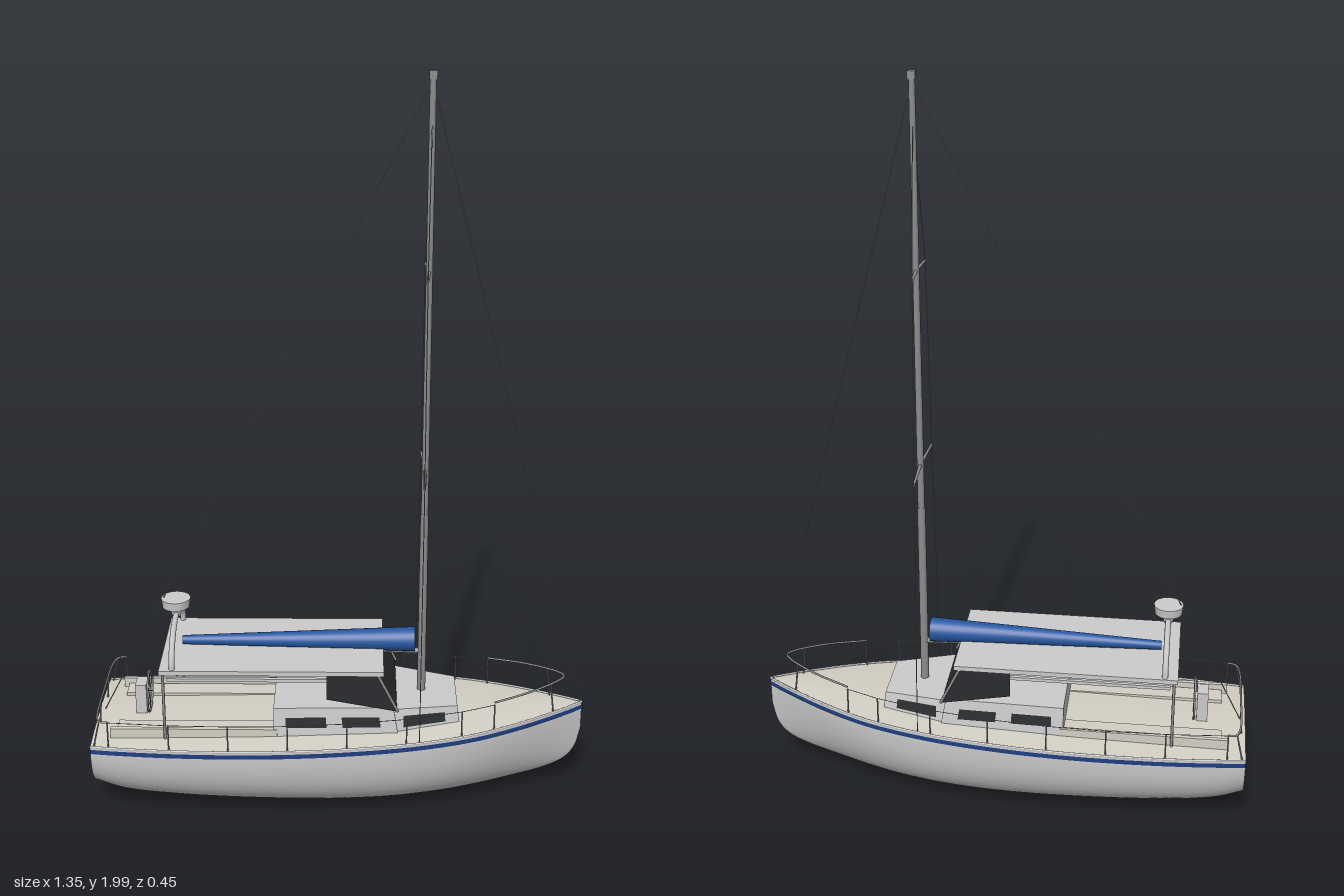
import * as THREE from 'three';

const mat = (color) => new THREE.MeshStandardMaterial({ color, side: THREE.DoubleSide });
const grey = mat(0xcccccc), deckMat = mat(0xd3cfc4), navy = mat(0x1f3f80);
const canvasBlue = mat(0x2657a0), glass = mat(0x2a2d30), metal = mat(0x8c8c8c);
const V = (x, y, z) => new THREE.Vector3(x, y, z);

// Hull lines: x station, half beam, keel height
const lines = new THREE.CatmullRomCurve3([
  [-0.675, 0.19, 0.065], [-0.6, 0.199, 0.038], [-0.45, 0.212, 0.022], [-0.22, 0.221, 0.012],
  [0, 0.215, 0.008], [0.2, 0.194, 0.014], [0.36, 0.158, 0.025], [0.48, 0.11, 0.042],
  [0.57, 0.064, 0.063], [0.63, 0.03, 0.092], [0.66, 0.011, 0.13], [0.675, 0.001, 0.19],
].map((p) => V(...p)));
const sheer = (x) => 0.23 + 0.042 * ((x + 0.675) / 1.35) ** 2;
function halfBeam(x) {
  let a = 0, b = 1;
  for (let i = 0; i < 30; i++) {
    const m = (a + b) / 2;
    if (lines.getPoint(m).x < x) a = m; else b = m;
  }
  return lines.getPoint(a).y;
}

// Smooth surface from a rule fn(u, v), u and v in 0..1
function surface(nu, nv, fn) {
  const pos = [], idx = [];
  for (let i = 0; i <= nu; i++) for (let j = 0; j <= nv; j++) pos.push(...fn(i / nu, j / nv));
  for (let i = 0; i < nu; i++) for (let j = 0; j < nv; j++) {
    const a = i * (nv + 1) + j, b = a + nv + 1;
    idx.push(a, a + 1, b, b, a + 1, b + 1);
  }
  const g = new THREE.BufferGeometry();
  g.setAttribute('position', new THREE.Float32BufferAttribute(pos, 3));
  g.setIndex(idx);
  g.computeVertexNormals();
  return g;
}

function sectionPoint(p, angle) {
  const bow = THREE.MathUtils.smoothstep(p.x, 0.1, 0.65);
  const e = 2 / THREE.MathUtils.lerp(2.5, 1.7, bow);
  const s = Math.sin(angle), c = Math.max(0, Math.cos(angle));
  return [p.x, sheer(p.x) - (sheer(p.x) - p.z) * c ** e, p.y * Math.sign(s) * Math.abs(s) ** e];
}

export function createModel() {
  const model = new THREE.Group();
  const add = (name, geo, material, parent = model) => {
    const m = new THREE.Mesh(geo, material);
    m.name = name;
    parent.add(m);
    return m;
  };
  const group = (name) => {
    const g = new THREE.Group();
    g.name = name;
    model.add(g);
    return g;
  };
  const box = (name, x0, x1, y0, y1, z0, z1, material, parent) =>
    add(name, new THREE.BoxGeometry(x1 - x0, y1 - y0, z1 - z0), material, parent)
      .position.set((x0 + x1) / 2, (y0 + y1) / 2, (z0 + z1) / 2);
  // Straight rod between two points
  const rod = (name, a, b, r0, r1, material, parent, sides = 8) => {
    const m = add(name, new THREE.CylinderGeometry(r1, r0, a.distanceTo(b), sides), material, parent);
    m.position.copy(a).lerp(b, 0.5);
    m.quaternion.setFromUnitVectors(V(0, 1, 0), b.clone().sub(a).normalize());
  };
  const tube = (name, pts, r, material, parent) =>
    add(name, new THREE.TubeGeometry(new THREE.CatmullRomCurve3(pts), 40, r, 6), material, parent);
  const panel = (name, a, b, c, d, material, parent) =>
    add(name, surface(1, 1, (u, v) => a.clone().lerp(b, u).lerp(d.clone().lerp(c, u), v).toArray()), material, parent);

  // Hull, transom, stripe and cambered deck
  const hull = group('hull');
  add('hullShell', surface(60, 40, (u, v) => sectionPoint(lines.getPoint(u), (v - 0.5) * Math.PI)), grey, hull);
  add('transom', surface(1, 40, (u, v) => {
    const p = sectionPoint(lines.getPoint(0), (v - 0.5) * Math.PI);
    return [p[0], u ? sheer(p[0]) : p[1], p[2]];
  }), grey, hull);
  add('deck', surface(60, 12, (u, v) => {
    const p = lines.getPoint(u), s = v * 2 - 1;
    return [p.x, sheer(p.x) + 0.06 * p.y * (1 - s * s), s * p.y];
  }), deckMat, hull);
  for (const s of [1, -1]) {
    add('sheerStripe', surface(60, 1, (u, v) => {
      const p = lines.getPoint(u);
      return [p.x + 0.002 * u, sheer(p.x) - 0.006 - 0.013 * v, s * (p.y + 0.002)];
    }), navy, hull);
    add('toeRail', new THREE.TubeGeometry(new THREE.CatmullRomCurve3(
      lines.getPoints(30).map((p) => V(p.x, sheer(p.x) + 0.002, s * p.y))), 60, 0.003, 6), grey, hull);
  }

  // Cabin: tapered blocks; each end is [xBottom, xTop, halfBottom, halfTop, yBottom, yTop]
  const cabin = group('cabin');
  function cabinBlock(name, aft, fore) {
    const at = (u, v, s) => {
      const e = aft.map((a, i) => THREE.MathUtils.lerp(a, fore[i], u));
      const mix = (i) => THREE.MathUtils.lerp(e[i], e[i + 1], v);
      return V(mix(0), mix(4), s * mix(2));
    };
    const g = new THREE.BoxGeometry(1, 1, 1), p = g.attributes.position;
    for (let i = 0; i < p.count; i++) {
      const q = at(p.getX(i) + 0.5, p.getY(i) + 0.5, p.getZ(i) * 2);
      p.setXYZ(i, q.x, q.y, q.z);
    }
    g.computeVertexNormals();
    add(name, g, grey, cabin);
    return (u0, u1, v0, v1) => {
      for (const s of [1, -1]) {
        const c = [[u0, v0], [u1, v0], [u1, v1], [u0, v1]].map(([u, v]) => at(u, v, s).add(V(0, 0.001, s * 0.002)));
        panel('cabinWindow', ...c, glass, cabin);
      }
    };
  }
  const aftWindow = cabinBlock('mainCabin', [-0.18, -0.18, 0.152, 0.14, 0.21, 0.325], [0.165, 0.145, 0.145, 0.132, 0.21, 0.325]);
  aftWindow(0.1, 0.43, 0.5, 0.76);
  aftWindow(0.56, 0.87, 0.5, 0.76);
  const foreWindow = cabinBlock('foreCabin', [0.14, 0.14, 0.146, 0.128, 0.21, 0.317], [0.33, 0.322, 0.097, 0.084, 0.23, 0.305]);
  foreWindow(0.18, 0.8, 0.48, 0.8);

  // Windshield and its side panes
  const shield = group('windshield');
  panel('frontPane', V(0.155, 0.322, -0.148), V(0.155, 0.322, 0.148), V(0.1, 0.436, 0.155), V(0.1, 0.436, -0.155), glass, shield);
  for (const s of [1, -1]) {
    panel('sidePane', V(-0.035, 0.36, s * 0.153), V(0.155, 0.322, s * 0.148), V(0.1, 0.436, s * 0.155), V(-0.035, 0.436, s * 0.155), glass, shield);
    rod('shieldFrame', V(0.157, 0.322, s * 0.148), V(0.102, 0.436, s * 0.155), 0.004, 0.004, metal, shield);
  }

  // Cockpit: coamings, seats, steering pedestal and wheel
  const cockpit = group('cockpit');
  for (const s of [1, -1]) {
    const za = s > 0 ? 0.137 : -0.149, zs = s > 0 ? 0.076 : -0.132;
    box('coaming', -0.625, -0.17, 0.22, 0.264, za, za + 0.012, deckMat, cockpit);
    box('seat', -0.61, -0.18, 0.22, 0.25, zs, zs + 0.056, deckMat, cockpit);
  }
  box('pedestal', -0.57, -0.54, 0.23, 0.33, -0.026, 0.026, grey, cockpit);
  rod('lever', V(-0.537, 0.32, 0), V(-0.537, 0.36, 0), 0.003, 0.003, metal, cockpit);
  const wheel = add('wheel', new THREE.TorusGeometry(0.058, 0.003, 6, 32), metal, cockpit);
  wheel.position.set(-0.533, 0.3, 0);
  wheel.rotation.y = Math.PI / 2;
  for (let i = 0; i < 3; i++) {
    const a = i * Math.PI / 3, d = V(0, Math.cos(a) * 0.058, Math.sin(a) * 0.058), c = wheel.position;
    rod('wheelSpoke', c.clone().sub(d), c.clone().add(d), 0.0015, 0.0015, metal, cockpit, 6);
  }

  // Hard top with posts and side rails
  const top = group('hardTop');
  box('roof', -0.485, 0.118, 0.434, 0.447, -0.16, 0.16, grey, top);
  for (const s of [1, -1]) {
    box('roofRail', -0.465, -0.03, 0.412, 0.421, s * 0.148 - 0.005, s * 0.148 + 0.005, grey, top);
    rod('roofPost', V(-0.475, 0.23, s * 0.152), V(-0.475, 0.436, s * 0.152), 0.004, 0.004, metal, top);
  }

  // Radar arch and dome
  const radar = group('radarArch');
  const arc = [];
  for (let i = 0; i <= 12; i++) {
    const a = i / 12 * Math.PI;
    arc.push(V(-0.45, 0.44 + 0.103 * Math.sin(a) ** 0.9, 0.15 * Math.cos(a)));
  }
  tube('arch', arc, 0.008, grey, radar);
  rod('radarStem', V(-0.45, 0.535, 0), V(-0.45, 0.57, 0), 0.012, 0.02, grey, radar, 16);
  rod('radarDome', V(-0.45, 0.563, 0), V(-0.45, 0.588, 0), 0.037, 0.04, grey, radar, 24);

  // Mast, boom, furled sail and spreaders
  const rig = group('rig');
  rod('mastLower', V(0.225, 0.3, 0), V(0.225, 0.84, 0), 0.0115, 0.011, metal, rig, 16);
  rod('mastUpper', V(0.225, 0.84, 0), V(0.225, 1.985, 0), 0.0095, 0.008, metal, rig, 16);
  box('mastHead', 0.215, 0.235, 1.978, 2, -0.009, 0.009, metal, rig);
  rod('boom', V(0.222, 0.43, 0), V(-0.42, 0.452, 0), 0.008, 0.006, metal, rig, 12);
  rod('furledSail', V(0.205, 0.466, 0), V(-0.435, 0.46, 0), 0.034, 0.012, canvasBlue, rig, 24);
  for (const [y, w] of [[0.965, 0.14], [1.5, 0.095]])
    for (const s of [1, -1]) rod('spreader', V(0.225, y, 0), V(0.218, y, s * w), 0.005, 0.003, metal, rig);

  // Standing rigging
  rod('forestay', V(0.225, 1.975, 0), V(0.67, 0.27, 0), 0.0016, 0.0016, metal, rig, 5);
  rod('backstay', V(0.225, 1.975, 0), V(-0.665, 0.232, 0), 0.0016, 0.0016, metal, rig, 5);
  for (const s of [1, -1]) {
    const path = [V(0.215, 0.245, s * 0.19), V(0.218, 0.965, s * 0.14), V(0.218, 1.5, s * 0.095), V(0.225, 1.9, 0)];
    for (let i = 0; i < 3; i++) rod('shroud', path[i], path[i + 1], 0.0013, 0.0013, metal, rig, 5);
  }

  // Stanchions, lifelines, bow and stern rails
  const rails = group('guardRails');
  const edge = (x, h, s) => V(x, sheer(x) + h, s * (halfBeam(x) - 0.008));
  const posts = [-0.625, -0.46, -0.3, -0.14, 0.02, 0.18, 0.33, 0.42];
  for (const s of [1, -1]) {
    posts.forEach((x, i) => {
      rod('stanchion', edge(x, 0, s), edge(x, 0.076, s), 0.0022, 0.0022, metal, rails, 6);
      if (i) rod('lifeline', edge(posts[i - 1], 0.075, s), edge(x, 0.075, s), 0.001, 0.001, metal, rails, 5);
    });
    rod('bowRailLeg', edge(0.59, 0, s), V(0.58, 0.352, s * 0.042), 0.0025, 0.0025, metal, rails, 6);
    rod('sternRailLeg', edge(-0.665, 0, s), V(-0.648, 0.305, s * 0.182), 0.0025, 0.0025, metal, rails, 6);
    rod('sternRailLeg', V(-0.665, 0.23, s * 0.07), V(-0.659, 0.305, s * 0.07), 0.0025, 0.0025, metal, rails, 6);
  }
  tube('bowRail', [V(0.42, 0.34, 0.128), V(0.52, 0.348, 0.083), V(0.605, 0.354, 0.025), V(0.622, 0.355, 0),
    V(0.605, 0.354, -0.025), V(0.52, 0.348, -0.083), V(0.42, 0.34, -0.128)], 0.003, metal, rails);
  tube('sternRail', [V(-0.625, 0.306, 0.188), V(-0.648, 0.305, 0.182), V(-0.66, 0.305, 0),
    V(-0.648, 0.305, -0.182), V(-0.625, 0.306, -0.188)], 0.003, metal, rails);

  return model;
}
